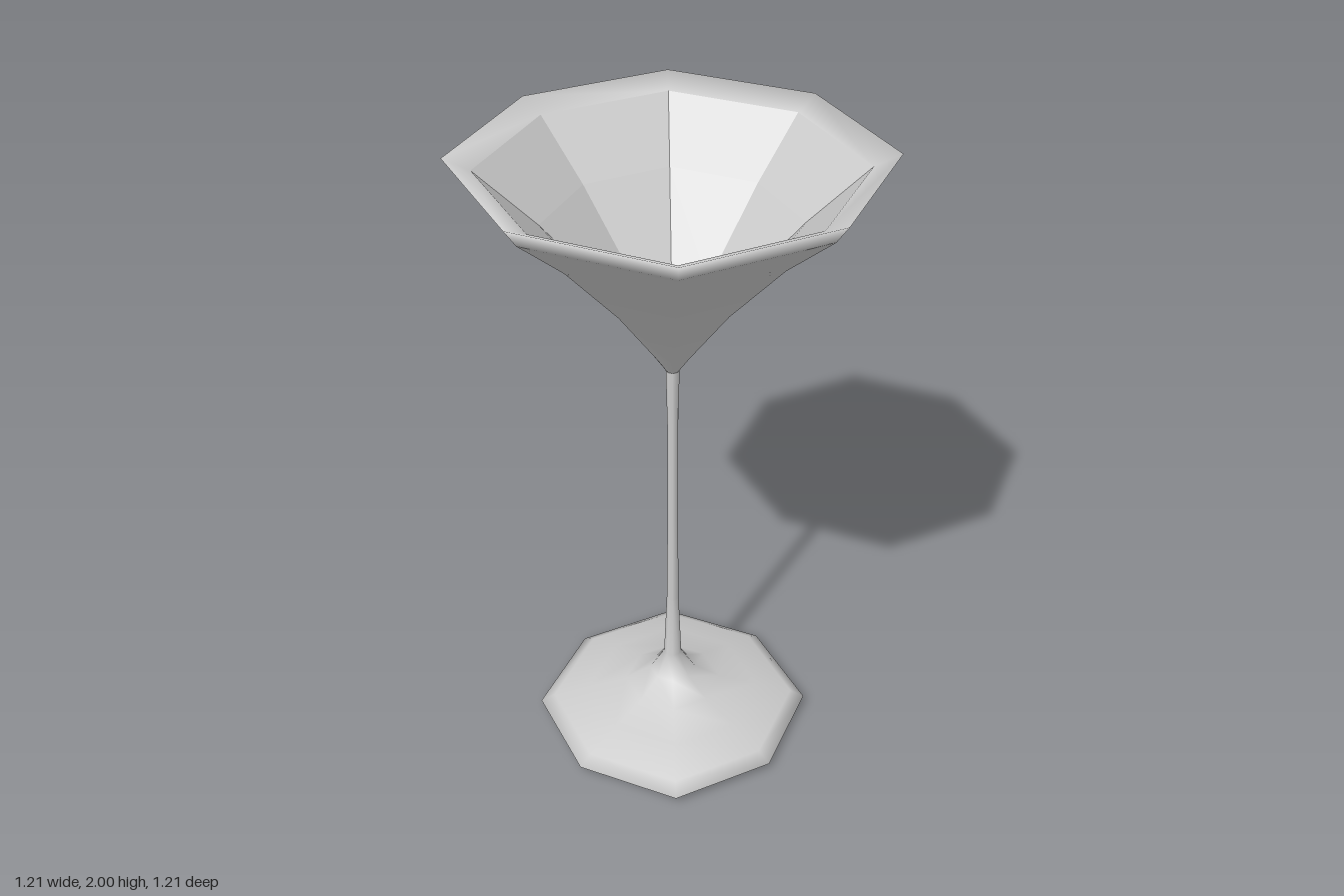
import * as THREE from 'three';

const SIDES = 8;

// Eight-sided turned surface; the diagonal corners sit slightly closer in.
function turned(name, profile, flat = false) {
  const points = profile.map(([r, y]) => new THREE.Vector2(r, y));
  const geometry = new THREE.LatheGeometry(points, SIDES);
  const pos = geometry.attributes.position;
  for (let i = 0; i < pos.count; i++) {
    const corner = Math.floor(i / profile.length);
    if (corner % 2 === 1) {
      pos.setX(i, pos.getX(i) * 0.97);
      pos.setZ(i, pos.getZ(i) * 0.97);
    }
  }
  const material = new THREE.MeshStandardMaterial({
    color: 0xcccccc, flatShading: flat, side: THREE.DoubleSide,
  });
  const mesh = new THREE.Mesh(geometry, material);
  mesh.name = name;
  return mesh;
}

export function createModel() {
  const glass = new THREE.Group();
  glass.name = 'cocktailGlass';

  glass.add(
    // Flat underside of the foot
    turned('footUnderside', [[0, 0], [0.41, 0.004]], true),
    // Foot sweeping up into the stem
    turned('foot', [
      [0.41, 0.004], [0.443, 0.027], [0.397, 0.055], [0.28, 0.093], [0.155, 0.13],
      [0.074, 0.178], [0.028, 0.25], [0.019, 0.48],
    ]),
    // Thin stem
    turned('stem', [[0.019, 0.48], [0.016, 0.8], [0.016, 1.15], [0.02, 1.34]]),
    // Outside of the bowl, rolling over the rim
    turned('bowlOutside', [
      [0.02, 1.34], [0.063, 1.4], [0.217, 1.6], [0.41, 1.81], [0.566, 1.945],
      [0.605, 2], [0.53, 1.965],
    ]),
    // Faceted inside wall of the bowl
    turned('bowlInside', [[0.53, 1.965], [0.36, 1.805], [0.15, 1.57], [0.088, 1.49]], true),
    // Rounded hollow at the bottom of the bowl
    turned('bowlBottom', [[0.088, 1.49], [0.05, 1.455], [0, 1.44]]),
  );
  return glass;
}
